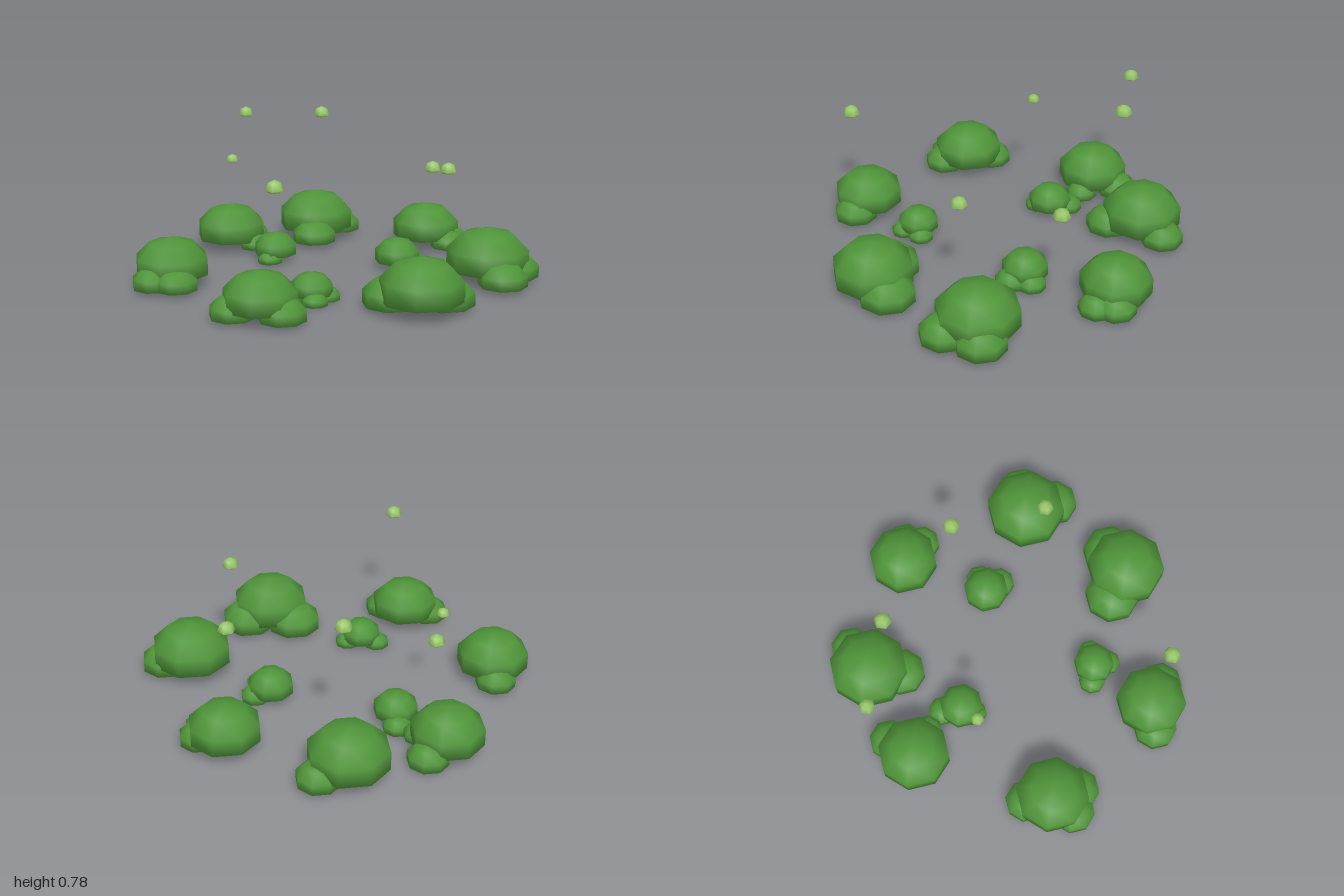
import * as THREE from 'three';
import { mergeVertices } from 'three/addons/utils/BufferGeometryUtils.js';

const leafGreen = new THREE.MeshStandardMaterial({ color: 0x4f9439 });
const paleGreen = new THREE.MeshStandardMaterial({ color: 0x98c868 });

// Unit dome: a low sphere with its underside pressed flat; radius 1, base y = 0, top y = 1
function domeGeometry(sides, rows, cut) {
  const g = new THREE.SphereGeometry(1, sides, rows);
  g.deleteAttribute('normal');
  g.deleteAttribute('uv');
  const p = g.attributes.position;
  let widest = 0;
  for (let i = 0; i < p.count; i++) widest = Math.max(widest, Math.hypot(p.getX(i), p.getZ(i)));
  for (let i = 0; i < p.count; i++) {
    const y = (Math.max(p.getY(i), -cut) + cut) / (1 + cut);
    p.setXYZ(i, p.getX(i) / widest, y, p.getZ(i) / widest);
  }
  const merged = mergeVertices(g, 1e-4);
  merged.computeVertexNormals();
  return merged;
}

const leafDome = domeGeometry(8, 5, 0.309);
const sparkDome = domeGeometry(6, 4, 0.25).rotateY(Math.PI / 2);

function addDome(parent, name, geometry, material, x, y, z, r, h) {
  const mesh = new THREE.Mesh(geometry, material);
  mesh.name = name;
  mesh.position.set(x, y, z);
  mesh.scale.set(r, h, r);
  parent.add(mesh);
}

// Each bush: main clump [x, z, radius, top], then side clumps [x, z, radius]
const bushes = [
  [[-0.295, -0.72, 0.205, 0.275], [-0.18, -0.84, 0.112], [-0.27, -0.55, 0.12]],
  [[0.345, -0.655, 0.182, 0.245], [0.47, -0.67, 0.105], [0.48, -0.58, 0.095]],
  [[-0.71, -0.405, 0.185, 0.25], [-0.645, -0.55, 0.105], [-0.565, -0.365, 0.08]],
  [[-0.41, -0.21, 0.113, 0.155], [-0.44, -0.305, 0.075], [-0.425, -0.14, 0.065]],
  [[0.255, -0.185, 0.118, 0.165], [0.325, -0.23, 0.075], [0.32, -0.125, 0.082]],
  [[0.74, -0.04, 0.21, 0.28], [0.87, -0.08, 0.13], [0.83, 0.105, 0.125]],
  [[0.48, 0.545, 0.205, 0.278], [0.33, 0.495, 0.145], [0.58, 0.45, 0.145]],
  [[-0.815, 0.33, 0.187, 0.25], [-0.855, 0.2, 0.105], [-0.87, 0.445, 0.112], [-0.755, 0.455, 0.11]],
  [[-0.07, 0.448, 0.105, 0.145], [-0.155, 0.45, 0.068], [0, 0.42, 0.065], [-0.04, 0.52, 0.065]],
  [[-0.245, 0.77, 0.18, 0.238], [-0.367, 0.81, 0.112], [-0.13, 0.81, 0.115]],
];

// Floating sparks: x, base y, z, radius, height
const sparks = [
  [-0.665, 0.712, -0.595, 0.041, 0.053],
  [-0.235, 0.722, -0.6, 0.045, 0.058],
  [-0.605, 0.558, -0.08, 0.034, 0.042],
  [-0.16, 0.62, 0.81, 0.045, 0.058],
  [0.545, 0.58, 0.085, 0.044, 0.055],
  [0.412, 0.483, -0.385, 0.046, 0.058],
];

export function createModel() {
  const model = new THREE.Group();
  model.name = 'bushRing';

  for (const [[x, z, r, top], ...sides] of bushes) {
    const bush = new THREE.Group();
    bush.name = 'bush';
    const base = r * 0.33;
    addDome(bush, 'mainClump', leafDome, leafGreen, x, base, z, r, top - base);
    // Side clumps sit lower than the main one
    const low = 0.2 * (r - 0.105) + 0.003;
    for (const [sx, sz, sr] of sides) {
      addDome(bush, 'sideClump', leafDome, leafGreen, sx, low, sz, sr, sr * 0.97);
    }
    model.add(bush);
  }

  for (const [x, y, z, r, h] of sparks) {
    addDome(model, 'floatingSpark', sparkDome, paleGreen, x, y, z, r, h);
  }
  return model;
}
